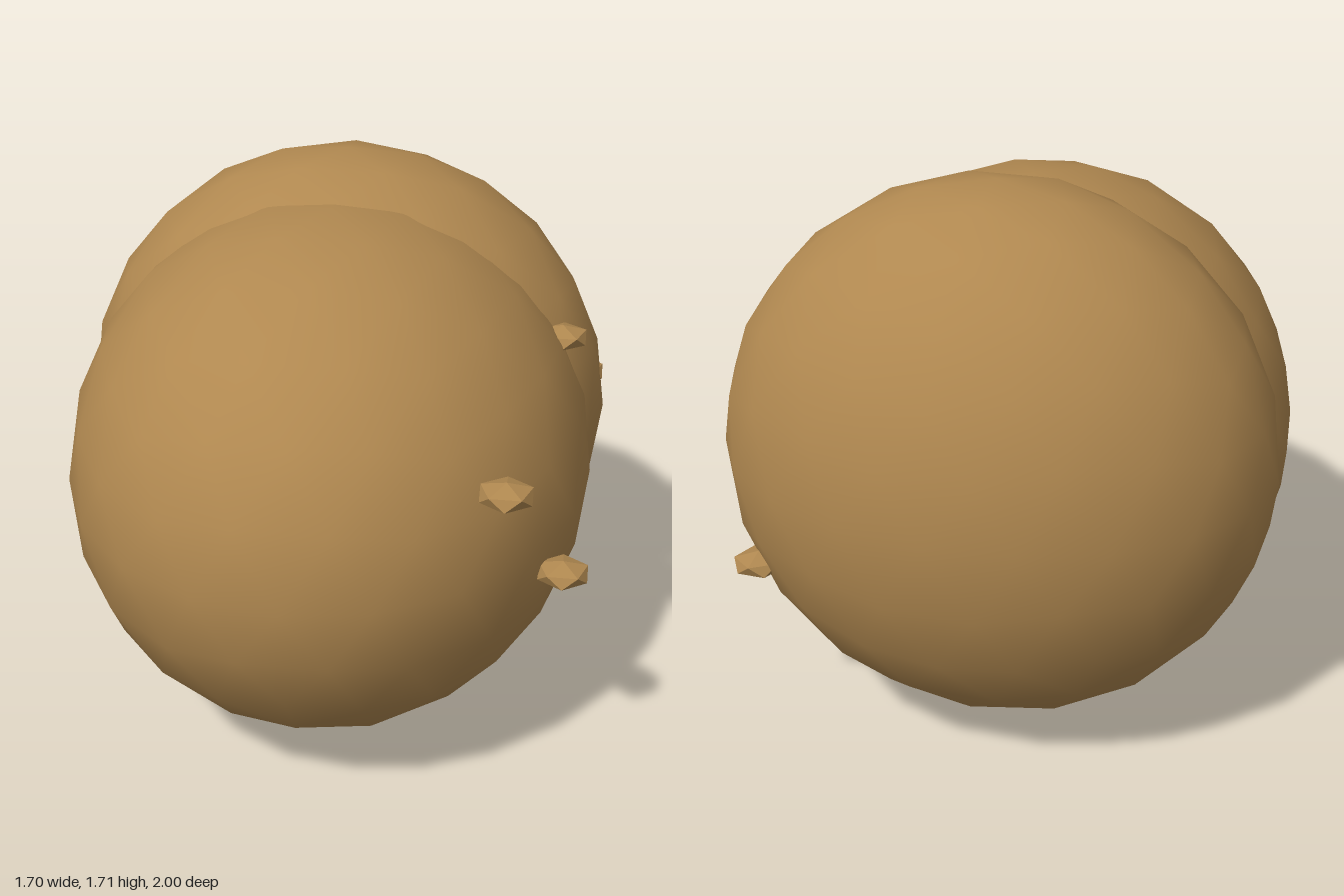
import * as THREE from 'three';

// Unit icosahedral ball with a corner on the y axis, each edge halved `steps` times
function icoBall(steps) {
  let geo = new THREE.IcosahedronGeometry(1, 0);
  for (let i = 0; i < steps; i++) {
    const points = Array.from(geo.attributes.position.array);
    const order = points.slice(0, points.length / 3).map((_, k) => k);
    geo = new THREE.PolyhedronGeometry(points, order, 1, 1);
  }
  return geo.rotateX(Math.atan((1 + Math.sqrt(5)) / 2));
}

export function createModel() {
  const model = new THREE.Group();
  model.name = 'potato';
  const skin = new THREE.MeshStandardMaterial({ color: 0xb08850 });
  skin.name = 'brown skin';

  const add = (name, geometry, size, position) => {
    const mesh = new THREE.Mesh(geometry.clone().scale(...size), skin);
    mesh.name = name;
    mesh.position.set(...position);
    model.add(mesh);
  };

  // Two overlapping smooth lobes form the body
  const ball = icoBall(2);
  add('frontLobe', ball, [0.815, 0.815, 0.98], [0, 0.82, 0.02]);
  add('backLobe', ball, [0.848, 0.832, 0.672], [0, 0.885, -0.328]);

  // Small faceted buds along the left side
  const bud = icoBall(0);
  [
    [0.585, 1.115, 0.77],
    [0.75, 0.74, 0.52],
    [0.703, 1.23, -0.065],
    [0.65, 0.56, -0.675],
    [0.767, 0.985, -0.37],
  ].forEach((p, i) => add(`bud${i + 1}`, bud, [0.084, 0.037, 0.084], p));

  return model;
}
